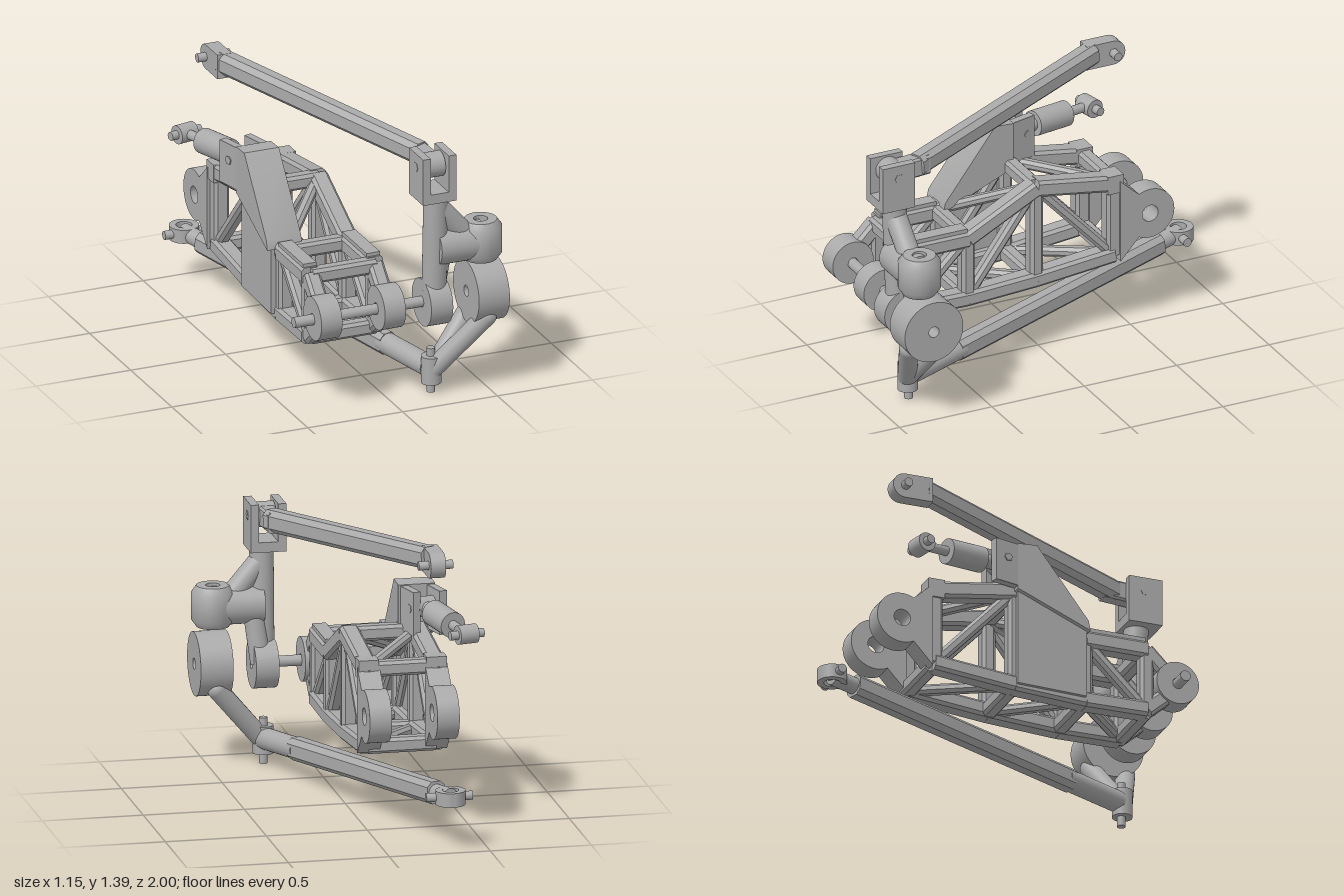
import * as THREE from 'three';
import { toCreasedNormals } from 'three/addons/utils/BufferGeometryUtils.js';

export function createModel() {
  const model = new THREE.Group();
  model.name = 'suspensionAssembly';
  const metal = new THREE.MeshStandardMaterial({ color: 0xaaaaaa });
  metal.name = 'plain grey';
  const V = (a) => new THREE.Vector3(...a);

  function add(name, geometry) {
    const mesh = new THREE.Mesh(geometry, metal);
    mesh.name = name;
    model.add(mesh);
    return mesh;
  }
  function box(name, x0, x1, y0, y1, z0, z1) {
    const g = new THREE.BoxGeometry(x1 - x0, y1 - y0, z1 - z0);
    add(name, g).position.set((x0 + x1) / 2, (y0 + y1) / 2, (z0 + z1) / 2);
  }
  // round bar between two points
  function rod(name, a, b, r0, r1 = r0, sides = 32) {
    const p = V(a), q = V(b), d = q.clone().sub(p);
    const m = add(name, new THREE.CylinderGeometry(r1, r0, d.length(), sides));
    m.position.copy(p).add(q).multiplyScalar(0.5);
    m.quaternion.setFromUnitVectors(new THREE.Vector3(0, 1, 0), d.normalize());
  }
  function ball(name, p, r) {
    add(name, new THREE.SphereGeometry(r, 32, 20)).position.set(...p);
  }
  // straight bar with chamfered corners between two points
  function beam(name, a, b, w, h, c = 0.015) {
    const p = V(a), d = V(b).sub(p), length = d.length();
    d.normalize();
    const x = w / 2, y = h / 2;
    const corners = [[x, -y + c], [x, y - c], [x - c, y], [c - x, y], [-x, y - c], [-x, c - y], [c - x, -y], [x - c, -y]];
    const s = new THREE.Shape(corners.map((k) => new THREE.Vector2(...k)));
    const m = add(name, new THREE.ExtrudeGeometry(s, { depth: length, bevelEnabled: false }));
    const up = Math.abs(d.y) > 0.95 ? new THREE.Vector3(0, 0, 1) : new THREE.Vector3(0, 1, 0);
    const side = up.cross(d).normalize();
    const top = d.clone().cross(side);
    m.quaternion.setFromRotationMatrix(new THREE.Matrix4().makeBasis(side, top, d));
    m.position.copy(p);
  }
  // side profile in (z, y), extruded across x
  function profile(name, shape, x0, x1) {
    const g = new THREE.ExtrudeGeometry(shape, { depth: x1 - x0, bevelEnabled: false, curveSegments: 24 });
    g.rotateY(-Math.PI / 2);
    g.translate(x1, 0, 0);
    add(name, toCreasedNormals(g, 0.5));
  }
  const poly = (pts) => new THREE.Shape(pts.map((k) => new THREE.Vector2(...k)));
  // thick disc on the x axis with a bore
  function bored(name, x0, x1, y, z, r, hole) {
    const s = new THREE.Shape().absarc(z, y, r, 0, Math.PI * 2);
    s.holes.push(new THREE.Path().absarc(z, y, hole, 0, Math.PI * 2, true));
    profile(name, s, x0, x1);
  }

  // two truss sides
  const top = [[0.70, 0.66], [0.38, 0.66], [0.01, 0.85], [-0.41, 0.785]];
  const bottom = [[0.70, 0.345], [0.38, 0.34], [0.01, 0.36], [-0.41, 0.4]];
  const sides = [-0.355, -0.02];
  for (const x of sides) {
    const bar = (n, p, q, w, h) => beam(n, [x, p[1], p[0]], [x, q[1], q[0]], w, h);
    for (let i = 0; i < 3; i++) {
      bar('topChord', top[i], top[i + 1], 0.095, 0.085);
      bar('bottomChord', bottom[i], bottom[i + 1], 0.095, 0.08);
    }
    for (let i = 0; i < 4; i++) bar('trussPost', top[i], bottom[i], 0.08, i === 3 ? 0.085 : 0.07);
    bar('trussDiagonal', bottom[0], top[1], 0.065, 0.055);
    bar('trussDiagonal', bottom[1], top[2], 0.065, 0.055);
    bar('trussDiagonal', top[2], bottom[3], 0.065, 0.055);
    box('rearCornerBlock', x - 0.05, x + 0.05, 0.74, 0.835, -0.45, -0.365);
    box('topStrip', x - 0.035, x + 0.035, 0.69, 0.72, 0.39, 0.69);
    // front pivot eye with its two arms
    bar('frontPivotArm', top[0], [0.82, 0.54], 0.08, 0.08);
    bar('frontPivotArm', bottom[0], [0.82, 0.45], 0.08, 0.08);
    bored('frontPivot', x - 0.055, x + 0.055, 0.5, 0.85, 0.11, 0.026);
    // rear lug with bore
    const lug = new THREE.Shape();
    lug.moveTo(-0.43, 0.37);
    lug.lineTo(-0.43, 0.80);
    lug.lineTo(-0.53, 0.71);
    lug.absarc(-0.59, 0.595, 0.13, 1.09, Math.PI * 2 - 1.09, false);
    lug.closePath();
    lug.holes.push(new THREE.Path().absarc(-0.59, 0.595, 0.043, 0, Math.PI * 2, true));
    profile('rearLug', lug, x - 0.055, x + 0.055);
  }

  // cross members and plan bracing
  for (const row of [top, bottom]) {
    row.forEach(([z, y]) => beam('crossMember', [-0.355, y, z], [-0.02, y, z], 0.075, 0.075));
    const [p0, p1, p2, p3] = row;
    const brace = (a, b) => beam('planBrace', [-0.355, a[1], a[0]], [-0.02, b[1], b[0]], 0.055, 0.05);
    if (row === bottom) brace(p1, p0);
    brace(p1, p2);
    brace(p2, p3);
  }

  // damper mount: side panel, sloped block and fork turned to the damper
  profile('mountPanel', poly([[0.37, 0.34], [0.37, 0.72], [0.01, 0.86], [0.01, 0.35]]), -0.42, -0.35);
  profile('damperMount', poly([[0.38, 0.68], [0.37, 0.73], [0.10, 1.085], [0, 1.08], [0, 0.84], [0.05, 0.82]]), -0.445, -0.262);
  for (const o of [-0.065, 0.065])
    beam('damperFork', [-0.352 + o, 0.965, 0.03], [-0.392 + o, 0.965, -0.13], 0.04, 0.22, 0.001);
  rod('damperForkPin', [-0.465, 0.99, -0.055], [-0.295, 0.985, -0.095], 0.022, 0.022, 6);

  // damper
  const along = (t) => [-0.375 - 0.112 * t, 0.985 - 0.025 * t, -0.07 - 0.45 * t];
  rod('damperFrontEye', [-0.42, 0.985, -0.06], [-0.33, 0.985, -0.08], 0.05);
  rod('damperNeck', along(0), along(0.3), 0.035);
  rod('damperBody', along(0.23), along(0.68), 0.064);
  rod('damperRod', along(0.6), along(0.95), 0.024);
  rod('damperRearEye', [-0.535, 0.96, -0.51], [-0.44, 0.96, -0.53], 0.047);
  rod('damperRearPin', [-0.572, 0.96, -0.505], [-0.40, 0.96, -0.54], 0.022);

  // front shaft
  rod('frontShaft', [-0.51, 0.495, 0.85], [0.24, 0.495, 0.85], 0.027);

  // upright
  bored('uprightPivot', 0.165, 0.28, 0.49, 0.85, 0.12, 0.024);
  rod('uprightColumn', [0.222, 0.56, 0.87], [0.222, 1.07, 0.89], 0.06);
  rod('uprightBoss', [0.222, 0.785, 0.875], [0.465, 0.785, 0.875], 0.095);
  rod('uprightGusset', [0.235, 0.99, 0.885], [0.40, 0.8, 0.875], 0.055);
  rod('uprightRearGusset', [0.24, 0.5, 0.82], [0.27, 0.75, 0.85], 0.05);
  const R = 0.105, steering = [[0.035, 0.685], [R - 0.025, 0.685], [R, 0.72], [R, 0.855], [R - 0.025, 0.89], [0.035, 0.89], [0.035, 0.685]];
  const sleeve = new THREE.LatheGeometry(steering.map((k) => new THREE.Vector2(...k)), 40);
  add('steeringSleeve', toCreasedNormals(sleeve, 0.8)).position.set(0.465, 0, 0.875);

  // upright's upper fork
  box('upperForkBase', 0.115, 0.29, 1.055, 1.105, 0.81, 0.985);
  box('upperForkOuterProng', 0.25, 0.29, 1.055, 1.295, 0.81, 0.985);
  box('upperForkInnerProng', 0.115, 0.155, 1.055, 1.295, 0.81, 0.985);
  rod('upperForkPin', [0.113, 1.225, 0.895], [0.292, 1.225, 0.895], 0.025, 0.025, 6);

  // upper link
  rod('upperLinkFrontEye', [0.16, 1.225, 0.895], [0.246, 1.225, 0.895], 0.063);
  beam('upperLinkFrontTongue', [0.205, 1.225, 0.9], [0.19, 1.23, 0.7], 0.08, 0.1, 0.01);
  beam('upperLink', [0.2, 1.232, 0.76], [-0.32, 1.335, -0.45], 0.1, 0.11, 0.025);
  box('upperLinkRearTongue', -0.365, -0.29, 1.262, 1.388, -0.555, -0.41);
  rod('upperLinkRearEye', [-0.365, 1.325, -0.555], [-0.29, 1.325, -0.555], 0.063);
  rod('upperLinkPin', [-0.41, 1.325, -0.555], [-0.24, 1.325, -0.555], 0.022);

  // lower link
  const low = (z) => [-0.32 + 0.55 * (z + 0.92) / 1.74, 0.26 - 0.135 * (z + 0.92) / 1.74, z];
  beam('lowerLink', low(-0.79), low(0.51), 0.1, 0.11, 0.025);
  rod('lowerLinkFrontEnd', low(0.48), low(0.8), 0.054);
  rod('lowerLinkRearNeck', low(-0.92), low(-0.76), 0.042);
  const ring = new THREE.Shape().absarc(0, 0, 0.073, 0, Math.PI * 2);
  ring.holes.push(new THREE.Path().absarc(0, 0, 0.04, 0, Math.PI * 2, true));
  const ringGeo = new THREE.ExtrudeGeometry(ring, { depth: 0.07, bevelEnabled: false, curveSegments: 24 });
  ringGeo.rotateX(-Math.PI / 2);
  add('lowerLinkRearRing', toCreasedNormals(ringGeo, 0.5)).position.set(-0.32, 0.225, -0.92);
  rod('lowerLinkPin', [-0.43, 0.26, -0.91], [-0.2, 0.26, -0.91], 0.022);

  // lower ball joint
  rod('lowerJoint', [0.228, 0.05, 0.82], [0.228, 0.19, 0.82], 0.05);
  rod('lowerJointPin', [0.228, 0, 0.815], [0.228, 0.23, 0.815], 0.021);

  // wheel hub with its two steering struts
  bored('wheelHub', 0.402, 0.564, 0.508, 0.845, 0.158, 0.028);
  for (const z of [0.75, 0.935]) {
    rod('hubStrut', [0.235, 0.12, 0.825], [0.472, 0.4, z], 0.048);
    ball('hubStrutEnd', [0.472, 0.4, z], 0.048);
  }
  return model;
}
